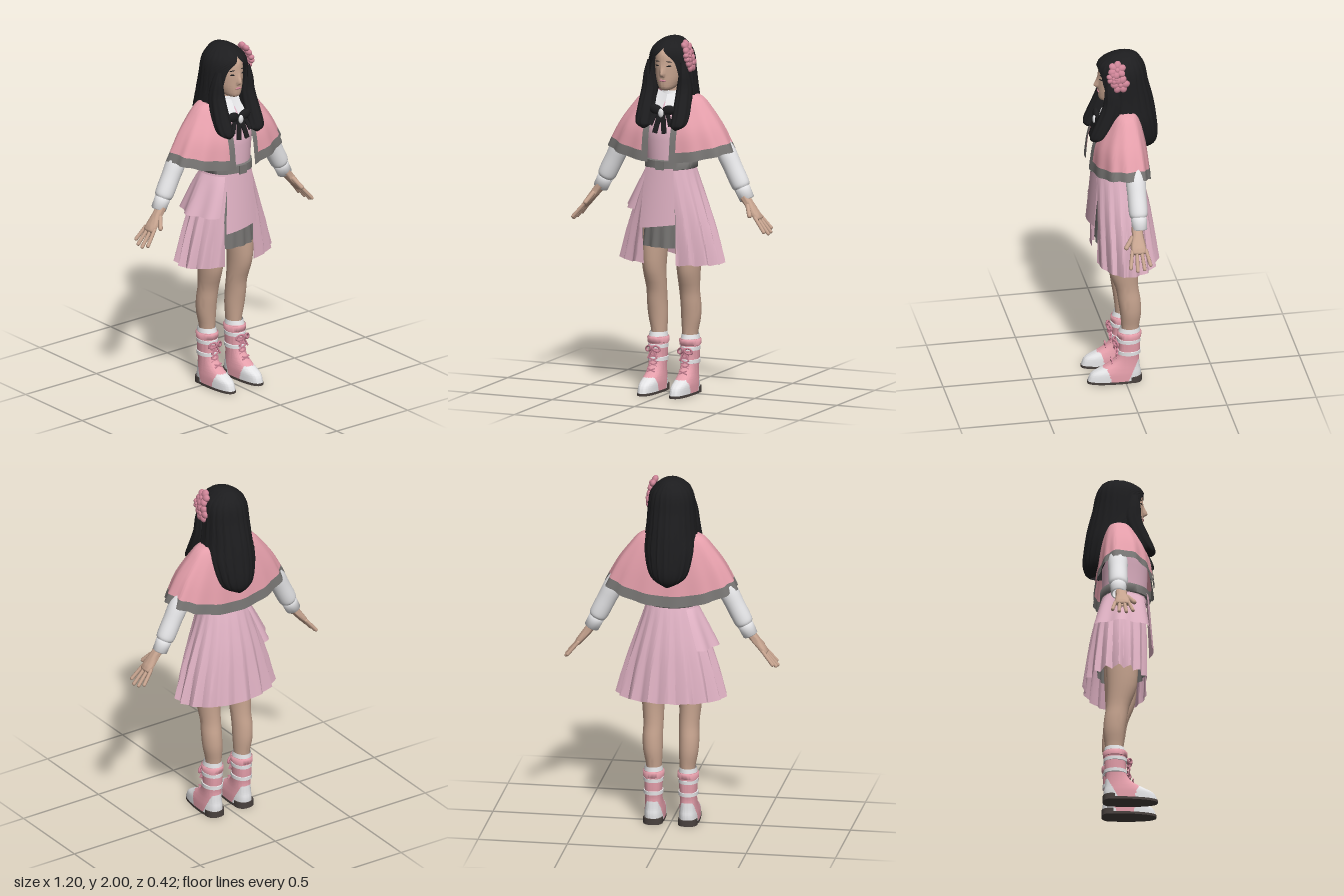
import * as THREE from 'three';
import { mergeVertices, toCreasedNormals } from 'three/addons/utils/BufferGeometryUtils.js';

const paint = (name, color) => {
  const m = new THREE.MeshStandardMaterial({ color, side: THREE.DoubleSide });
  m.name = name;
  return m;
};

// Grid surface from f(u, v); u runs around, v runs downward
function sheet(f, nu, nv, crease = 1.1) {
  const pos = [], idx = [];
  for (let j = 0; j <= nv; j++) for (let i = 0; i <= nu; i++) pos.push(...f(i / nu, j / nv));
  for (let j = 0; j < nv; j++) for (let i = 0; i < nu; i++) {
    const a = j * (nu + 1) + i, c = a + nu + 1;
    idx.push(a, c, a + 1, a + 1, c, c + 1);
  }
  const g = new THREE.BufferGeometry();
  g.setAttribute('position', new THREE.Float32BufferAttribute(pos, 3));
  g.setIndex(idx);
  return toCreasedNormals(mergeVertices(g), crease);
}

// Smooth (or straight) interpolation through a list of rows
function at(rows, v, straight = false) {
  const n = rows.length - 1, s = v * n, i = Math.min(Math.floor(s), n - 1), t = s - i;
  const a = rows[Math.max(i - 1, 0)], b = rows[i], c = rows[i + 1], d = rows[Math.min(i + 2, n)];
  return b.map((p, k) => straight ? p + (c[k] - p) * t
    : p + 0.5 * t * (c[k] - a[k] + t * (2 * a[k] - 5 * p + 4 * c[k] - d[k] + t * (3 * (p - c[k]) + d[k] - a[k]))));
}

// Loft of oval rings, top first: [y, centreX, centreZ, radiusX, frontZ, backZ, frontGapDegrees]
function loft(rings, { n = 24, sub = 3, power = 1, ripple = () => 1 } = {}) {
  return sheet((u, v) => {
    const [y, cx, cz, rx, zf, zb, gap = 0] = at(rings, v, sub === 1);
    const d = Math.max(gap, 0) * Math.PI / 180, th = d + u * (2 * Math.PI - 2 * d);
    const s = Math.sin(th), c = Math.cos(th), k = ripple(th, v);
    return [cx + k * rx * Math.sign(s) * Math.abs(s) ** power, y, cz + k * c * (c > 0 ? zf : zb)];
  }, n, (rings.length - 1) * sub);
}
const round = rows => rows.map(([y, r, cz = 0]) => [y, 0, cz, r, r, r]);

// Keeps the triangles whose centre passes a test
function keep(g, test) {
  const p = g.attributes.position.array, q = g.attributes.normal.array, pos = [], nor = [];
  for (let i = 0; i < p.length; i += 9) {
    const mid = k => (p[i + k] + p[i + 3 + k] + p[i + 6 + k]) / 3;
    if (test(mid(1), mid(2))) for (let k = 0; k < 9; k++) { pos.push(p[i + k]); nor.push(q[i + k]); }
  }
  const out = new THREE.BufferGeometry();
  out.setAttribute('position', new THREE.Float32BufferAttribute(pos, 3));
  out.setAttribute('normal', new THREE.Float32BufferAttribute(nor, 3));
  return out;
}

export function createModel() {
  const model = new THREE.Group();
  const pink = paint('cape pink', 0xe59fab), pale = paint('dress pink', 0xe0b2c4), grey = paint('trim grey', 0x777573),
    white = paint('white cloth', 0xe4e4e6), skin = paint('skin', 0xc8a590), black = paint('black', 0x1d1d1f),
    brown = paint('sole brown', 0x4a423f), rose = paint('rose', 0xcf8598);
  const add = (parent, name, geo, mat, pos = [0, 0, 0], rot = [0, 0, 0], scale = [1, 1, 1]) => {
    const m = new THREE.Mesh(geo, mat);
    m.name = name;
    m.position.set(...pos); m.rotation.set(...rot); m.scale.set(...scale);
    parent.add(m);
    return m;
  };
  const group = (parent, name, pos = [0, 0, 0], rot = [0, 0, 0]) => {
    const g = new THREE.Group();
    g.name = name; g.position.set(...pos); g.rotation.set(...rot);
    parent.add(g);
    return g;
  };
  const ball = new THREE.SphereGeometry(1, 16, 12);

  // Head with a nose raised from the face
  const nose = (th, v) => {
    const a = Math.min(th, 2 * Math.PI - th) / .14, b = (v - .575) / (v < .575 ? .09 : .025);
    return 1 + .22 * Math.exp(-a * a - b * b);
  };
  add(model, 'head', loft([[1.985, 0, 0, .005, .005, .005], [1.965, 0, 0, .045, .07, .07], [1.92, 0, .005, .076, .116, .11],
    [1.86, 0, .01, .083, .122, .12], [1.8, 0, .02, .077, .112, .11], [1.755, 0, .035, .064, .096, .09],
    [1.718, 0, .065, .04, .058, .06], [1.703, 0, .08, .004, .01, .01]], { n: 96, sub: 7, ripple: nose }), skin);
  add(model, 'neck', loft(round([[1.76, .045], [1.6, .05]])), skin);
  add(model, 'lips', ball, rose, [0, 1.766, .13], [0, 0, 0], [.021, .006, .006]);
  for (const s of [-1, 1]) {
    add(model, 'eye', ball, black, [s * .034, 1.848, .121], [0, s * .4, s * .06], [.016, .004, .004]);
    add(model, 'eyebrow', ball, black, [s * .035, 1.872, .12], [0, s * .4, s * -.1], [.018, .0025, .003]);
  }

  // Long hair: crown and back sheet, with a lock falling over each side of the chest
  const strands = th => 1 + .014 * Math.sin(th * 23) + .008 * Math.sin(th * 41);
  add(model, 'longHair', loft([[2, 0, -.01, 0, 0, 0, 0], [1.985, 0, -.01, .05, .07, .07, 0], [1.95, 0, 0, .094, .117, .11, 0],
    [1.92, 0, 0, .114, .137, .125, 10], [1.88, 0, 0, .125, .142, .135, 30], [1.82, 0, 0, .13, .142, .145, 39],
    [1.74, 0, 0, .136, .135, .165, 45], [1.68, 0, 0, .143, .12, .178, 62], [1.6, 0, -.03, .147, .06, .16, 85],
    [1.5, 0, -.06, .127, .04, .14, 90], [1.44, 0, -.09, .09, .03, .1, 90], [1.405, 0, -.12, .02, .02, .04, 90]],
  { n: 120, ripple: strands }), black);
  for (const s of [-1, 1]) {
    add(model, 'frontLock', loft([[1.87, s * .1, .08, .012, .02, .03], [1.8, s * .106, .075, .027, .038, .05], [1.72, s * .105, .07, .04, .05, .06],
      [1.62, s * .108, .1, .046, .06, .06], [1.55, s * .108, .135, .046, .055, .05], [1.52, s * .102, .16, .038, .034, .03],
      [1.5, s * .097, .172, .004, .005, .005]], { n: 40, ripple: th => 1 + .06 * Math.sin(th * 9) }), black);
  }

  // Flower ornament on the left of the head
  const flower = group(model, 'hairFlower');
  for (const [x, y, z, r, tilt] of [[.112, 1.942, .045, .05, .45], [.128, 1.86, .03, .052, .05], [.125, 1.9, .07, .036, .2]]) {
    const blossom = group(flower, 'blossom', [x, y, z], [0, 0, tilt]);
    for (let i = 0; i < 6; i++) {
      const a = i * Math.PI / 3 + y * 9;
      add(blossom, 'petal', ball, rose, [0, Math.sin(a) * r * .55, Math.cos(a) * r * .55], [-a, 0, .3 * Math.sin(a)], [.017, r * .42, r * .5]);
    }
    add(blossom, 'flowerCentre', ball, rose, [.015, 0, 0], [0, 0, 0], [.008, r * .25, r * .25]);
  }

  // Bodice, belt and collar
  add(model, 'bodice', loft([[1.68, 0, 0, .06, .05, .06], [1.65, 0, 0, .12, .065, .07], [1.59, 0, 0, .165, .1, .085], [1.5, 0, 0, .16, .15, .095],
    [1.4, 0, 0, .148, .155, .095], [1.3, 0, 0, .14, .152, .095], [1.24, 0, 0, .142, .152, .1]], { n: 32 }), pale);
  add(model, 'belt', loft([[1.325, 0, 0, .14, .152, .095], [1.32, 0, 0, .148, .165, .105], [1.272, 0, 0, .148, .167, .107], [1.267, 0, 0, .14, .15, .1]],
    { n: 32, sub: 1 }), grey);
  add(model, 'beltBuckle', new THREE.BoxGeometry(.05, .05, .008), grey, [0, 1.297, .169]);
  add(model, 'collarBand', loft([[1.7, 0, 0, .053, .055, .055], [1.64, 0, 0, .085, .08, .075]]), white);
  for (const s of [-1, 1]) {
    const [A, B, C, D] = [[0, 1.68, .068], [.07, 1.697, .03], [.088, 1.63, .09], [.006, 1.6, .128]];
    add(model, 'collarWing', sheet((u, v) => A.map((_, k) => (k ? 1 : s) *
      ((A[k] * (1 - u) + B[k] * u) * (1 - v) + (D[k] * (1 - u) + C[k] * u) * v)), 4, 4), white);
    // Ribbon bow
    add(model, 'ribbonLoop', ball, black, [s * .038, 1.603, .135], [0, 0, s * .25], [.04, .028, .018]);
    add(model, 'ribbonTail', new THREE.BoxGeometry(.028, .12, .008), black, [s * .018, 1.535, .158], [-.25, 0, s * .18]);
    add(model, 'ribbonEnd', new THREE.BoxGeometry(.022, .09, .008), black, [s * .045, 1.56, .148], [-.3, 0, s * .35]);
  }
  add(model, 'brooch', ball, white, [0, 1.588, .152], [0, 0, 0], [.016, .025, .01]);

  // Cape, open at the front, with trim along hem and edges; rows are [drop, radiusX, frontZ, backZ]
  const capeRows = [[0, .1, .05, .065], [.07, .175, .075, .08], [.25, .228, .115, .102], [.55, .297, .168, .122], [.85, .348, .185, .135], [1, .37, .19, .142]];
  const capeAt = (angle, v, lift = 0) => {
    const [t, rx, zf, zb] = at(capeRows, v), th = angle(rx), c = Math.cos(th);
    const hem = 1.375 - (c > 0 ? .06 : .09) * c * c, k = 1 + .022 * t * Math.sin(th * 14);
    return [k * rx * Math.sin(th), 1.69 - t * (1.69 - hem), c > 0 ? (k * zf + lift) * c ** .85 : -k * zb * (-c) ** .65];
  };
  const around = u => rx => { const d = Math.asin(Math.min(.95, .072 / rx)); return d + u * 2 * (Math.PI - d); };
  add(model, 'cape', sheet((u, v) => capeAt(around(u), v * .8), 128, 16), pink);
  add(model, 'capeHemTrim', sheet((u, v) => capeAt(around(u), .8 + v * .2), 128, 3), grey);
  for (const s of [-1, 1]) {
    add(model, 'capeEdgeTrim', sheet((u, v) => capeAt(rx => s * Math.asin((.065 + .036 * u) / rx), .42 + v * .58, .005), 3, 12), grey);
  }

  // Pleated skirt, open at the front over grey shorts; rows are [y, radiusX, frontZ, backZ]
  const skirtRows = [[1.28, .138, .155, .095], [1.2, .162, .16, .118], [1.05, .212, .165, .152], [.9, .258, .165, .175], [.74, .298, .162, .195]];
  const pleat = th => { const w = th * 17 / (2 * Math.PI), f = w - Math.floor(w); return (f < .6 ? f / .6 : (1 - f) / .4) - .5; };
  add(model, 'pleatedSkirt', sheet((u, v) => {
    const [y, rx, zf, zb] = at(skirtRows, v), overlap = .05 * Math.max(0, 1 - v * 1.8);
    const a = Math.asin((.09 - overlap) / rx), b = 2 * Math.PI - Math.asin((.112 - overlap) / rx), th = a + u * (b - a), c = Math.cos(th);
    const k = 1 + .115 * v * pleat(th);
    return [k * rx * Math.sin(th), y + .012 * v * pleat(th), k * c * (c > 0 ? zf : zb)];
  }, 170, 12, .6), pale);
  add(model, 'skirtFrontPanel', sheet((u, v) => {
    const x = -.12 + .215 * u, y = 1.28 - v * (.34 - .03 * u);
    return [x * (.8 + .2 * v), y, (.165 + .032 * v * (1 - .5 * u)) * Math.sqrt(1 - (x / .27) ** 2)];
  }, 12, 8), pale);
  add(model, 'sideFlap', sheet((u, v) => {
    const [y, rx, zf, zb] = at(skirtRows, .06 + v * .44), th = (220 + 102 * u) * Math.PI / 180, c = Math.cos(th);
    const off = .004 + .04 * v + .012 * v * Math.sin(u * 16);
    return [(rx + off) * Math.sin(th), y - .01, c * ((c > 0 ? zf : zb) + off)];
  }, 24, 6), pale);
  add(model, 'shorts', loft([[1.15, 0, 0, .13, .12, .09], [1, 0, 0, .165, .135, .11], [.83, 0, 0, .185, .143, .12]],
    { n: 128, ripple: (th, v) => 1 + .035 * v * Math.sin(th * 16) }), grey);

  // Limbs, built on the left and mirrored
  for (const side of [1, -1]) {
    const half = group(model, side > 0 ? 'leftLimbs' : 'rightLimbs');
    half.scale.x = side;

    // Arm, its top hidden under the cape
    const arm = group(half, 'arm', [.2, 1.6, -.02], [0, 0, .465]);
    add(arm, 'sleeve', loft(round([[-.1, .005], [-.14, .032], [-.2, .044], [-.27, .055], [-.35, .053], [-.43, .053], [-.465, .05], [-.48, .041]])), white);
    add(arm, 'cuff', loft(round([[-.475, .04], [-.48, .044], [-.545, .042], [-.55, .034]]), { sub: 1 }), white);
    const hand = group(arm, 'hand', [0, -.54, .015], [0, 0, .2]);
    hand.scale.setScalar(1.22);
    add(hand, 'palm', loft([[.01, 0, 0, .022, .025, .025], [-.03, 0, 0, .02, .027, .026], [-.075, 0, .002, .017, .036, .033],
      [-.11, 0, .002, .014, .035, .033], [-.12, 0, .002, .003, .02, .02]]), skin);
    [.072, .088, .093, .08].forEach((len, i) => {
      const z = -.03 + .021 * i, finger = group(hand, 'finger', [0, -.1, z], [-z * 6, 0, .03]);
      add(finger, 'fingerSegment', new THREE.CapsuleGeometry(.0085, len, 4, 8), skin, [0, -len / 2, 0]);
    });
    const thumb = group(hand, 'thumb', [0, -.035, .024], [-.62, 0, -.1]);
    add(thumb, 'thumbSegment', new THREE.CapsuleGeometry(.0105, .055, 4, 8), skin, [0, -.03, 0]);

    // Leg
    const leg = group(half, 'leg', [.1, 0, 0]);
    add(leg, 'bareLeg', loft([[1, -.01, .01, .075, .09, .095], [.85, 0, .01, .073, .09, .09], [.7, .004, .01, .063, .083, .083],
      [.58, 0, -.008, .056, .06, .068], [.5, .002, -.022, .056, .06, .066], [.42, 0, -.028, .054, .054, .064],
      [.34, -.006, -.03, .044, .048, .052], [.28, -.006, -.03, .04, .045, .048]]), skin);

    // Boot
    const boot = group(half, 'boot', [.097, 0, 0]);
    const upper = loft([[.305, 0, -.025, .053, .06, .062], [.2, 0, -.025, .049, .058, .06], [.15, 0, -.02, .047, .066, .06], [.115, 0, -.012, .048, .09, .07],
      [.085, 0, 0, .051, .132, .085], [.055, 0, .008, .054, .18, .098], [.012, 0, .008, .055, .2, .098]], { n: 96, sub: 8, power: .75 });
    const isWhite = (y, z) => (z > .075 + y * .3 && y < .09) || (z < -.005 - y * .5 && y < .13);
    add(boot, 'bootUpper', keep(upper, (y, z) => !isWhite(y, z)), pink);
    add(boot, 'toeAndHeelCaps', keep(upper, isWhite), white);
    add(boot, 'bootCollar', loft([[.33, 0, -.028, .047, .052, .056], [.295, 0, -.025, .054, .062, .064]]), white);
    add(boot, 'bootCuff', loft([[.306, 0, -.025, .05, .06, .062], [.3, 0, -.025, .06, .067, .069], [.272, 0, -.025, .059, .066, .068], [.268, 0, -.025, .048, .06, .06]], { sub: 1 }), pink);
    for (const y of [.252, .18]) {
      add(boot, 'strap', loft([[y + .012, 0, -.024, .047, .058, .06], [y + .01, 0, -.024, .055, .065, .066], [y - .01, 0, -.024, .055, .066, .066], [y - .012, 0, -.024, .046, .058, .06]], { sub: 1 }), white);
    }
    const slab = (y, cz, rx, zf, zb) => loft([[y, 0, cz, 0, 0, 0], [y, 0, cz, rx, zf, zb], [0, 0, cz, rx, zf, zb], [0, 0, cz, 0, 0, 0]], { n: 32, sub: 1, power: .75 });
    add(boot, 'sole', slab(.014, .008, .056, .202, .1), brown);
    add(boot, 'heel', slab(.035, -.045, .054, .048, .05), brown);
    // Laces and bow
    for (let i = 0; i < 5; i++) for (const s of [-1, 1]) {
      const y = .125 + i * .026;
      add(boot, 'lace', new THREE.BoxGeometry(.05, .007, .008), rose, [0, y, i ? .043 : .072], [0, 0, s * .4]);
    }
    for (const s of [-1, 1]) {
      add(boot, 'laceLoop', new THREE.TorusGeometry(.017, .006, 6, 14), rose, [s * .023, .243, .054], [0, s * .5, s * -.4], [1.3, .85, 1]);
      add(boot, 'laceEnd', new THREE.BoxGeometry(.008, .055, .006), rose, [s * .016, .212, .055], [0, 0, s * .45]);
    }
  }
  return model;
}
